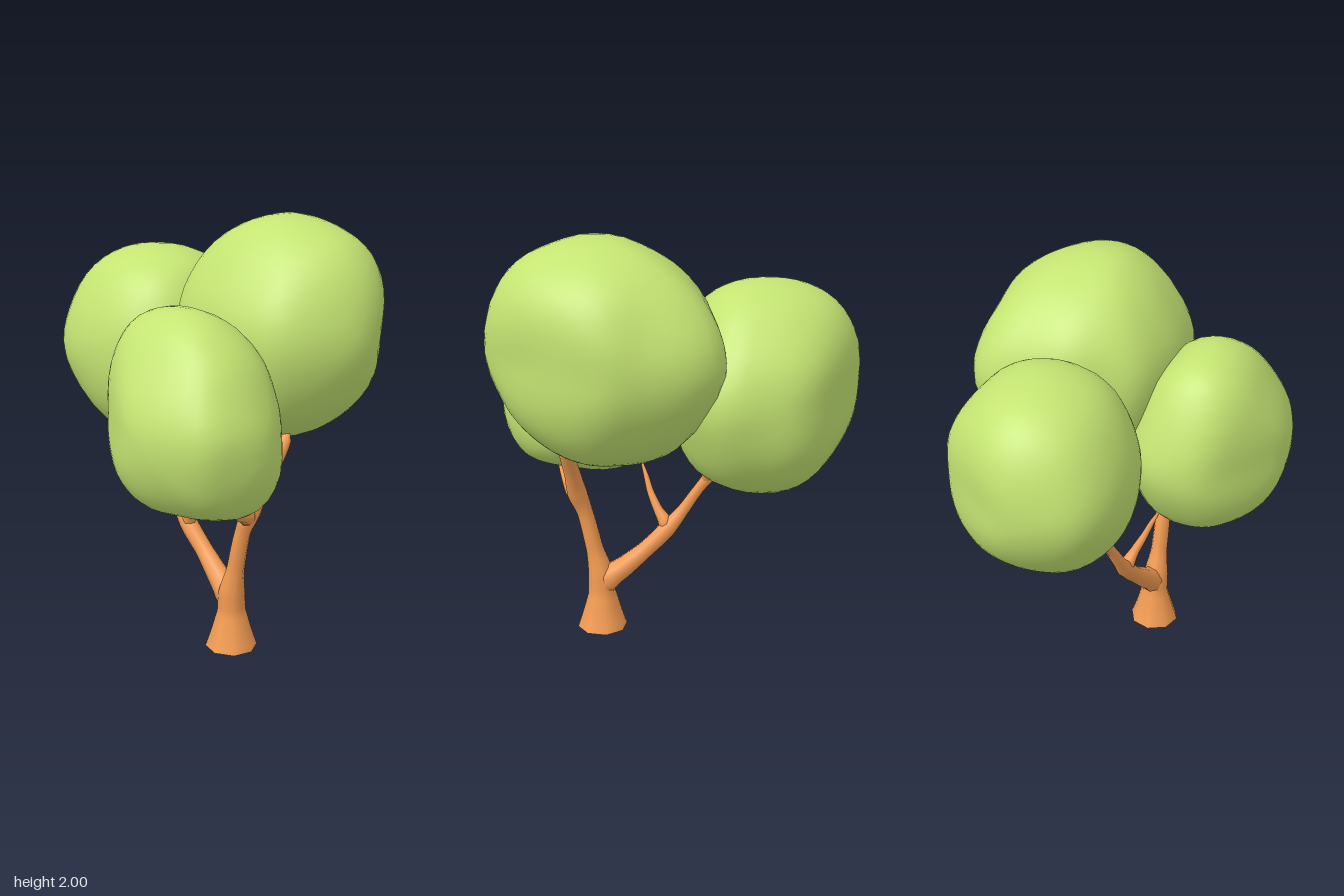
import * as THREE from 'three';
import { mergeVertices } from 'three/addons/utils/BufferGeometryUtils.js';

const bark = new THREE.MeshStandardMaterial({ color: 0xf49c52, side: THREE.DoubleSide });
const leaf = new THREE.MeshStandardMaterial({ color: 0xc4e472 });

// Weld the seams and give smooth normals
function smooth(geo) {
  geo.deleteAttribute('uv');
  geo.deleteAttribute('normal');
  const welded = mergeVertices(geo, 1e-4);
  welded.computeVertexNormals();
  return welded;
}

function addMesh(group, name, geo, material) {
  const mesh = new THREE.Mesh(geo, material);
  mesh.name = name;
  group.add(mesh);
}

// Turns a closed outline into a radius-by-angle function around a centre
function polar(points, cu, cv) {
  const curve = new THREE.CatmullRomCurve3(
    points.map(([u, v]) => new THREE.Vector3(u - cu, v - cv, 0)), true);
  const rays = curve.getPoints(120).slice(0, -1)
    .map(p => [Math.atan2(p.y, p.x), Math.hypot(p.x, p.y)])
    .sort((a, b) => a[0] - b[0]);
  const first = rays[0], last = rays[rays.length - 1];
  rays.unshift([last[0] - 2 * Math.PI, last[1]]);
  rays.push([first[0] + 2 * Math.PI, first[1]]);
  return (u, v) => {
    const a = Math.atan2(v, u);
    const i = Math.max(1, rays.findIndex(r => r[0] >= a));
    const [a0, r0] = rays[i - 1], [a1, r1] = rays[i];
    return THREE.MathUtils.lerp(r0, r1, (a - a0) / Math.max(a1 - a0, 1e-6));
  };
}

// Lumpy leaf ball whose radius blends a front (x,y), side (z,y) and top (x,z) outline
function crown({ centre: [cx, cy, cz], front, side, top }) {
  const rf = polar(front, cx, cy), rs = polar(side, cz, cy), rt = polar(top, cx, cz);
  const geo = smooth(new THREE.IcosahedronGeometry(1, 9));
  const pos = geo.attributes.position;
  const d = new THREE.Vector3();
  for (let i = 0; i < pos.count; i++) {
    d.fromBufferAttribute(pos, i).normalize();
    const [x, y, z] = d.toArray().map(c => c * c + 0.04);
    const r = (x * y * rf(d.x, d.y) + z * y * rs(d.z, d.y) + x * z * rt(d.x, d.z)) / (x * y + z * y + x * z);
    pos.setXYZ(i, cx + d.x * r, cy + d.y * r, cz + d.z * r);
  }
  geo.computeVertexNormals();
  return geo;
}

// Tapered limb through [x, y, z, radius] points
function limb(points, sides = 8) {
  const curve = new THREE.CatmullRomCurve3(points.map(p => new THREE.Vector3(p[0], p[1], p[2])));
  const rings = points.length * 4;
  const geo = new THREE.TubeGeometry(curve, rings, 1, sides);
  const pos = geo.attributes.position;
  const v = new THREE.Vector3();
  for (let i = 0; i <= rings; i++) {
    const c = curve.getPointAt(i / rings);
    const t = curve.getUtoTmapping(i / rings) * (points.length - 1);
    const k = Math.min(Math.floor(t), points.length - 2);
    const r = THREE.MathUtils.lerp(points[k][3], points[k + 1][3], t - k);
    for (let j = 0; j <= sides; j++) {
      const n = i * (sides + 1) + j;
      v.fromBufferAttribute(pos, n).sub(c).multiplyScalar(r).add(c);
      if (i === 0 && points[0][1] === 0) v.y = 0;
      pos.setXYZ(n, v.x, v.y, v.z);
    }
  }
  return smooth(geo);
}

const crowns = {
  rightCrown: {
    centre: [-0.4, 1.3, -0.23],
    front: [[-0.42, 1.78], [-0.25, 1.76], [-0.13, 1.69], [-0.02, 1.48], [0.03, 1.2], [-0.06, 0.93], [-0.2, 0.84],
      [-0.37, 0.81], [-0.52, 0.84], [-0.7, 0.98], [-0.82, 1.17], [-0.85, 1.36], [-0.81, 1.55], [-0.72, 1.68], [-0.6, 1.75]],
    side: [[-0.2, 1.78], [0.03, 1.7], [0.16, 1.5], [0.2, 1.27], [0.14, 1.03], [0, 0.88], [-0.2, 0.81], [-0.35, 0.82],
      [-0.5, 0.88], [-0.63, 1.05], [-0.67, 1.25], [-0.63, 1.48], [-0.42, 1.72]],
    top: [[-0.85, -0.15], [-0.8, -0.3], [-0.6, -0.56], [-0.45, -0.65], [-0.3, -0.67], [-0.1, -0.65], [0.01, -0.5],
      [0.03, -0.23], [-0.05, 0.05], [-0.2, 0.16], [-0.48, 0.2], [-0.68, 0.15], [-0.8, 0.05]],
  },
  backCrown: {
    centre: [0.35, 1.5, -0.25],
    front: [[0.37, 2], [0.55, 1.97], [0.7, 1.9], [0.8, 1.77], [0.85, 1.57], [0.8, 1.35], [0.72, 1.2], [0.55, 1.05],
      [0.35, 0.98], [0.09, 1.02], [-0.07, 1.17], [-0.15, 1.38], [-0.16, 1.58], [-0.13, 1.7], [0, 1.86], [0.2, 1.97]],
    side: [[-0.13, 2], [0, 1.92], [0.1, 1.8], [0.2, 1.6], [0.21, 1.45], [0.17, 1.25], [0.05, 1.08], [-0.2, 0.98],
      [-0.5, 1.07], [-0.65, 1.25], [-0.73, 1.5], [-0.7, 1.67], [-0.6, 1.85], [-0.38, 1.98]],
    top: [[-0.16, -0.48], [-0.13, -0.64], [0.03, -0.73], [0.3, -0.71], [0.5, -0.63], [0.65, -0.5], [0.78, -0.32],
      [0.85, -0.17], [0.79, -0.02], [0.63, 0.17], [0.52, 0.21], [0.2, 0.18], [-0.03, 0.08], [-0.1, -0.1]],
  },
  frontCrown: {
    centre: [0.28, 1.18, 0.36],
    front: [[0.2, 1.67], [0.36, 1.65], [0.5, 1.57], [0.6, 1.47], [0.68, 1.3], [0.74, 1.1], [0.73, 0.98], [0.65, 0.83],
      [0.5, 0.77], [0.3, 0.755], [0.15, 0.76], [0, 0.83], [-0.1, 0.97], [-0.16, 1.15], [-0.13, 1.33], [-0.05, 1.52], [0.03, 1.62]],
    side: [[0.37, 1.67], [0.5, 1.61], [0.62, 1.45], [0.7, 1.3], [0.73, 1.18], [0.7, 0.98], [0.6, 0.83], [0.4, 0.76],
      [0.25, 0.75], [0.1, 0.82], [0.03, 0.93], [0, 1.1], [0.05, 1.35], [0.13, 1.52], [0.25, 1.63]],
    top: [[-0.16, 0.25], [-0.13, 0.4], [0, 0.55], [0.2, 0.69], [0.32, 0.73], [0.5, 0.71], [0.63, 0.66], [0.7, 0.55],
      [0.74, 0.4], [0.7, 0.27], [0.6, 0.14], [0.4, 0.03], [0.15, 0], [-0.04, 0.06], [-0.13, 0.15]],
  },
};

const limbs = {
  trunk: [[0.31, 0, 0.09, 0.122], [0.31, 0.06, 0.09, 0.102], [0.31, 0.18, 0.09, 0.067], [0.315, 0.28, 0.095, 0.062],
    [0.34, 0.4, 0.1, 0.042], [0.385, 0.6, 0.105, 0.038], [0.42, 0.7, 0.095, 0.048], [0.45, 0.83, 0.04, 0.038],
    [0.48, 0.95, -0.02, 0.036], [0.49, 1.02, -0.06, 0.03], [0.49, 1.07, -0.08, 0.004]],
  topTwig: [[0.485, 0.97, -0.03, 0.03], [0.47, 1.015, -0.08, 0.034], [0.41, 1.015, -0.14, 0.02], [0.35, 1, -0.23, 0.003]],
  frontTwig: [[0.405, 0.65, 0.1, 0.03], [0.43, 0.7, 0.14, 0.044], [0.45, 0.72, 0.2, 0.028], [0.465, 0.745, 0.26, 0.016],
    [0.48, 0.775, 0.34, 0.003]],
  sideBranch: [[0.32, 0.15, 0.09, 0.04], [0.28, 0.25, 0.08, 0.062], [0.2, 0.32, 0.06, 0.052], [0.1, 0.41, 0.04, 0.042],
    [0, 0.51, 0.03, 0.044], [-0.08, 0.61, 0.02, 0.03], [-0.15, 0.72, 0, 0.026], [-0.21, 0.8, -0.02, 0.03],
    [-0.32, 0.9, -0.05, 0.004]],
  middleTwig: [[0.01, 0.49, 0.03, 0.02], [0.005, 0.54, 0.035, 0.036], [0.035, 0.6, 0.06, 0.023], [0.065, 0.68, 0.1, 0.017],
    [0.08, 0.75, 0.13, 0.013], [0.1, 0.83, 0.17, 0.004]],
  outerTwig: [[-0.17, 0.74, 0, 0.02], [-0.19, 0.8, -0.03, 0.03], [-0.18, 0.83, -0.1, 0.018], [-0.16, 0.87, -0.21, 0.003]],
};

export function createModel() {
  const tree = new THREE.Group();
  tree.name = 'tree';
  for (const [name, points] of Object.entries(limbs)) addMesh(tree, name, limb(points), bark);
  for (const [name, shape] of Object.entries(crowns)) addMesh(tree, name, crown(shape), leaf);
  return tree;
}
